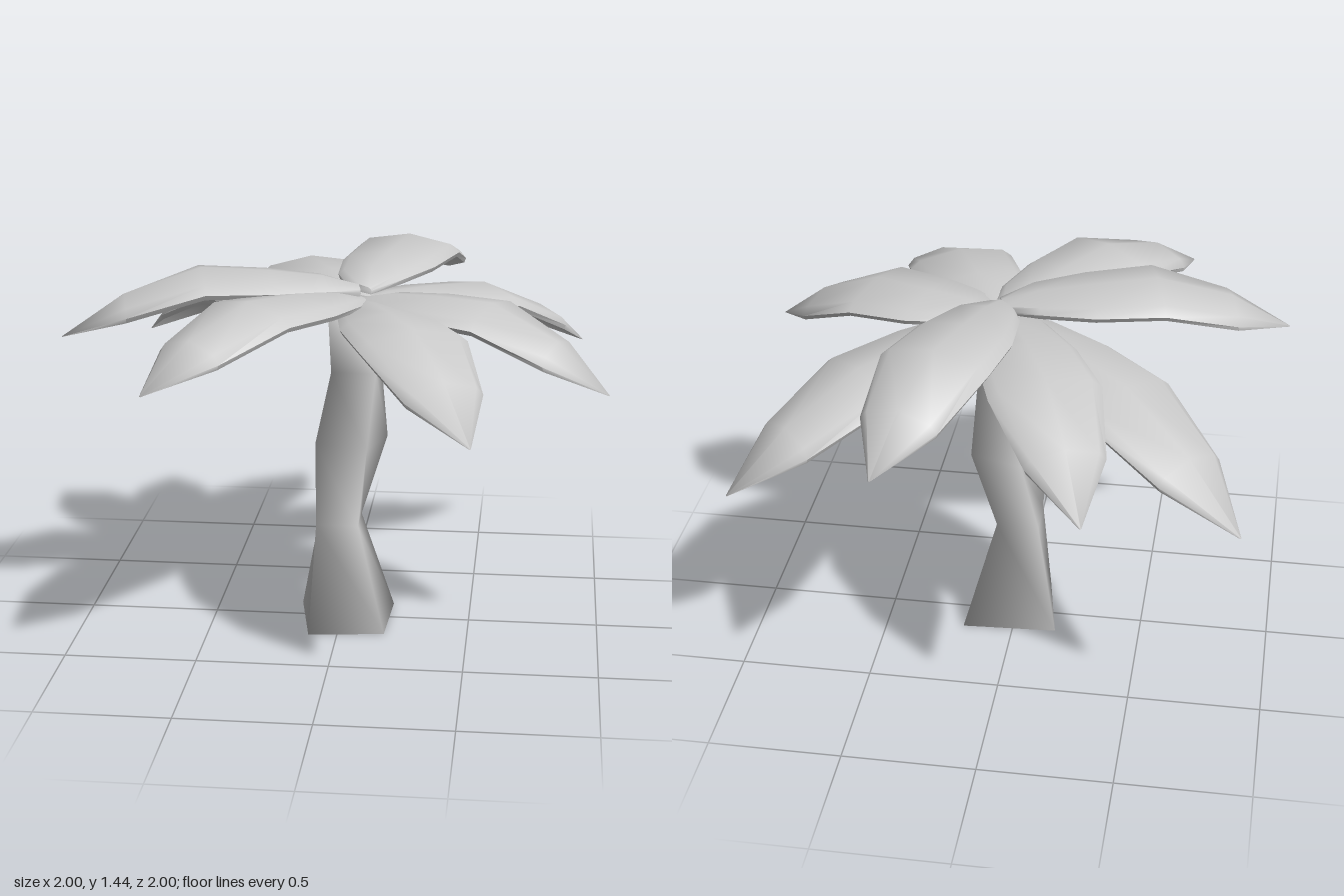
import * as THREE from 'three';
import { toCreasedNormals } from 'three/addons/utils/BufferGeometryUtils.js';

const material = new THREE.MeshStandardMaterial({ color: 0xcccccc, side: THREE.DoubleSide });

// Skin a list of equal-length closed loops and cap both ends.
function loft(rings, crease) {
  const n = rings[0].length;
  const last = (rings.length - 1) * n;
  const index = [];
  for (let j = 0; j < rings.length - 1; j++) {
    for (let i = 0; i < n; i++) {
      const a = j * n + i, b = j * n + (i + 1) % n;
      index.push(a, b, a + n, b, b + n, a + n);
    }
  }
  for (let i = 1; i < n - 1; i++) {
    index.push(0, i + 1, i, last, last + i, last + i + 1);
  }
  const geometry = new THREE.BufferGeometry().setFromPoints(rings.flat());
  geometry.setIndex(index);
  return toCreasedNormals(geometry, crease);
}

// Four-sided trunk: flared foot, pinched, swelling and slightly leaning.
function createTrunk() {
  const foot = [[0.195, -0.14], [-0.17, -0.12], [-0.11, 0.21], [0.18, 0.175]]
    .map(([x, z]) => new THREE.Vector3(x, 0, z));
  const corners = [[1, -1], [-1, -1], [-1, 1], [1, 1]];
  // height, centre x, centre z, half width x, half width z, twist
  const levels = [
    [0.42, -0.007, 0.045, 0.081, 0.076, 0],
    [0.74, 0.04, 0.028, 0.106, 0.104, 0.3],
    [1.03, 0.06, 0.05, 0.085, 0.072, 0.05],
    [1.28, 0.045, 0.05, 0.085, 0.08, 0],
  ];
  const rings = levels.map(([y, cx, cz, rx, rz, twist]) => corners.map(([x, z]) => {
    const c = Math.cos(twist), s = Math.sin(twist);
    return new THREE.Vector3(cx + rx * (x * c - z * s), y, cz + rz * (x * s + z * c));
  }));
  return new THREE.Mesh(loft([foot, ...rings], 2.2), material);
}

// Arched, domed frond with a thin rim, from the crown to its tip.
function createFrond(tipX, tipY, tipZ, baseY, bow) {
  const base = new THREE.Vector3(0.07, baseY, 0.07);
  const tip = new THREE.Vector3(tipX, tipY, tipZ);
  const forward = tip.clone().sub(base).setY(0).normalize();
  const side = forward.clone().cross(new THREE.Vector3(0, 1, 0));
  // position along the frond, half width, edge droop, rise of the spine
  const stations = [
    [0, 0.05, 0.02, 0], [0.12, 0.132, 0.035, 0.055], [0.3, 0.187, 0.05, 0.107],
    [0.53, 0.207, 0.06, 0.162], [0.79, 0.147, 0.06, 0.115], [1, 0.003, 0.002, 0],
  ];
  const across = [[-1, 1], [-0.82, 0.5], [0, 0], [0.82, 0.5], [1, 1]];
  const rings = stations.map(([t, width, droop, rise]) => {
    const spine = base.clone().lerp(tip, t).addScaledVector(side, bow * 4 * t * (1 - t));
    spine.y += rise;
    const point = ([u, d], scale, drop) => spine.clone()
      .addScaledVector(side, u * width * scale)
      .add(new THREE.Vector3(0, -d * droop - drop, 0));
    const thickness = Math.min(0.018, width * 0.3);
    const top = across.map((p) => point(p, 1, 0));
    const under = across.map((p) => point(p, 0.95, thickness)).reverse();
    return [...top, ...under];
  });
  return new THREE.Mesh(loft(rings, 1.1), material);
}

export function createModel() {
  const model = new THREE.Group();
  model.name = 'palmTree';

  const trunk = createTrunk();
  trunk.name = 'trunk';
  model.add(trunk);

  // tip x, y, z, height at the crown and sideways bow
  const fronds = [
    [-0.89, 0.95, -0.78, 1.3, -0.01], [-0.36, 1.06, -0.97, 1.32, -0.015],
    [0.35, 1.2, -1.0, 1.36, 0], [0.92, 0.95, -0.78, 1.3, 0],
    [1.0, 1.06, 0.42, 1.31, -0.03], [0.53, 1.03, 1.0, 1.3, 0.005],
    [-0.59, 1.16, 0.94, 1.32, 0], [-1.0, 1.2, 0.33, 1.36, 0.025],
  ];
  const crown = new THREE.Group();
  crown.name = 'crown';
  fronds.forEach((f, i) => {
    const frond = createFrond(...f);
    frond.name = `frond${i + 1}`;
    crown.add(frond);
  });
  model.add(crown);
  return model;
}
